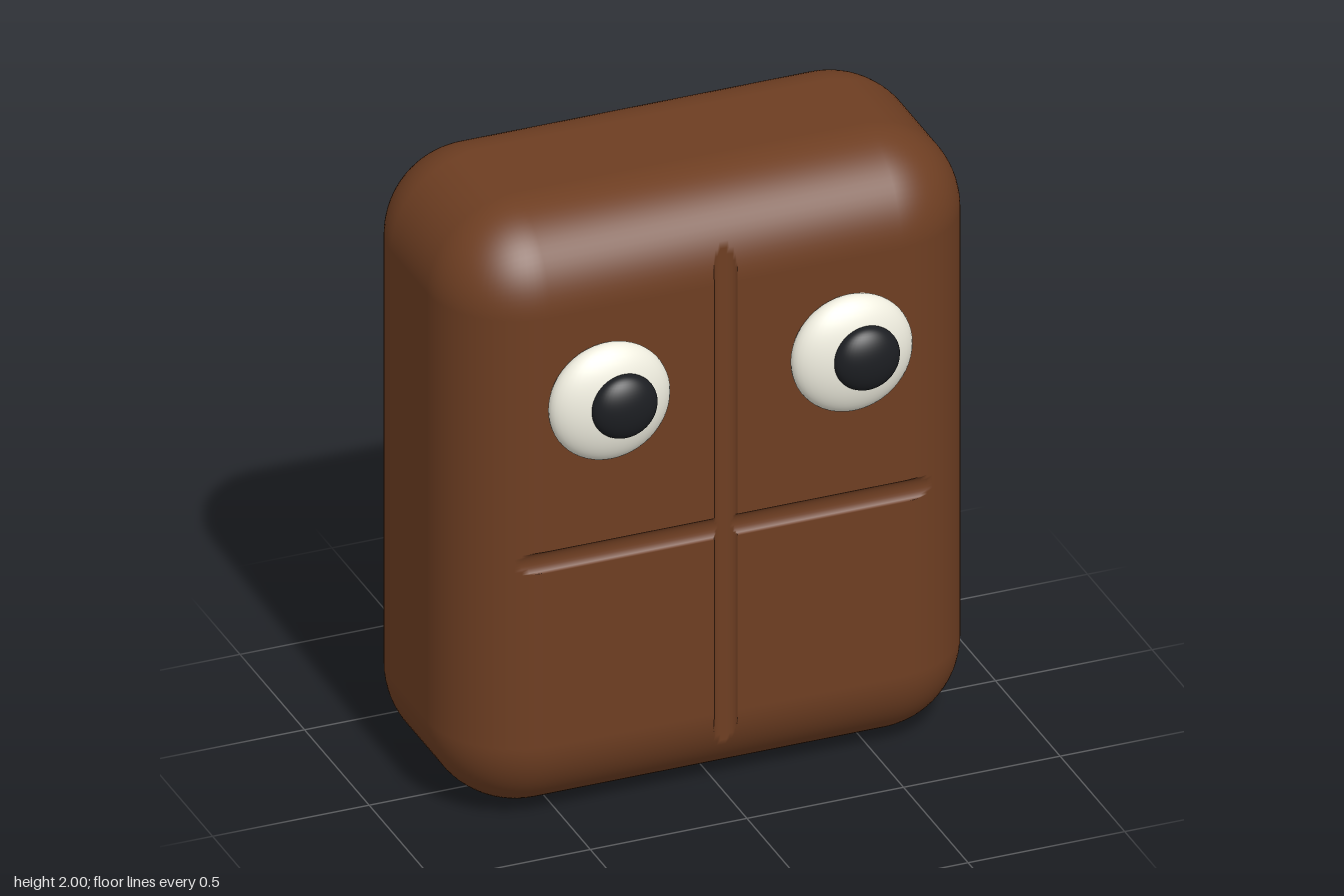
import * as THREE from 'three';

const HALF = [0.84, 1, 0.42];            // body half sizes
const R = 0.28;                          // edge rounding
const CENTER = new THREE.Vector3(0, 1, -0.08);
const GROOVES = [                        // axis measured across, centre, half width, depth
  { axis: 0, at: 0, w: 0.038, d: 0.023 },
  { axis: 1, at: -0.1, w: 0.036, d: 0.018 },
];

// Grid lines along one axis: rounded ends, plus fine lines across a groove
function gridLines(half, groove) {
  const n = 10, inner = half - R, lines = [];
  for (let i = n; i >= 0; i--) lines.push(-inner - R * Math.tan((i / n) * Math.PI / 4));
  if (groove) {
    for (let i = 0; i <= 12; i++) lines.push(groove.at - groove.w * Math.cos((i / 12) * Math.PI));
  }
  for (let i = 0; i <= n; i++) lines.push(inner + R * Math.tan((i / n) * Math.PI / 4));
  return lines;
}

// Rounded block with two crossing round grooves pressed into the front
function bodyGeometry() {
  const lines = HALF.map((h, k) => gridLines(h, GROOVES[k]));
  const seg = lines.map((l) => l.length - 1);
  const geo = new THREE.BoxGeometry(...seg, ...seg);
  const pos = geo.attributes.position, nor = geo.attributes.normal;
  const p = new THREE.Vector3(), core = new THREE.Vector3(), n = new THREE.Vector3();
  const limit = new THREE.Vector3(...HALF).subScalar(R);
  const low = limit.clone().negate();

  for (let i = 0; i < pos.count; i++) {
    p.fromBufferAttribute(pos, i);
    p.set(...p.toArray().map((v, k) => lines[k][Math.round(v + seg[k] / 2)]));
    core.copy(p).clamp(low, limit);
    n.copy(p).sub(core).normalize();
    p.copy(core).addScaledVector(n, R);

    if (p.z > 0) {
      for (const g of GROOVES) {
        const t = (p.getComponent(g.axis) - g.at) / g.w;
        if (Math.abs(t) > 0.9999) continue;
        const s = Math.sqrt(1 - t * t);
        const floor = HALF[2] - g.d * s;
        if (floor < p.z) {
          p.z = floor;
          n.set(0, 0, 1).setComponent(g.axis, -g.d * t / (g.w * s)).normalize();
        }
      }
    }
    p.add(CENTER);
    pos.setXYZ(i, p.x, p.y, p.z);
    nor.setXYZ(i, n.x, n.y, n.z);
  }
  return geo;
}

function ellipsoid(name, material, x, y, z, r, depth) {
  const mesh = new THREE.Mesh(new THREE.SphereGeometry(1, 40, 28), material);
  mesh.name = name;
  mesh.position.set(x, y, z);
  mesh.scale.set(r, r, depth);
  return mesh;
}

export function createModel() {
  const brown = new THREE.MeshStandardMaterial({ color: 0x6e3e22 });
  const white = new THREE.MeshStandardMaterial({ color: 0xf0eee0 });
  const black = new THREE.MeshStandardMaterial({ color: 0x1c1e22 });
  const model = new THREE.Group();

  const body = new THREE.Mesh(bodyGeometry(), brown);
  body.name = 'body';
  model.add(body);

  // Flattened eyes; both pupils are shifted slightly to the same side
  for (const side of [-1, 1]) {
    const eye = new THREE.Group();
    eye.name = side > 0 ? 'leftEye' : 'rightEye';
    const x = side * 0.387;
    eye.add(
      ellipsoid('eyeball', white, x, 1.424, 0.372, 0.192, 0.083),
      ellipsoid('pupil', black, x + 0.018, 1.438, 0.445, 0.104, 0.055),
    );
    model.add(eye);
  }
  return model;
}
